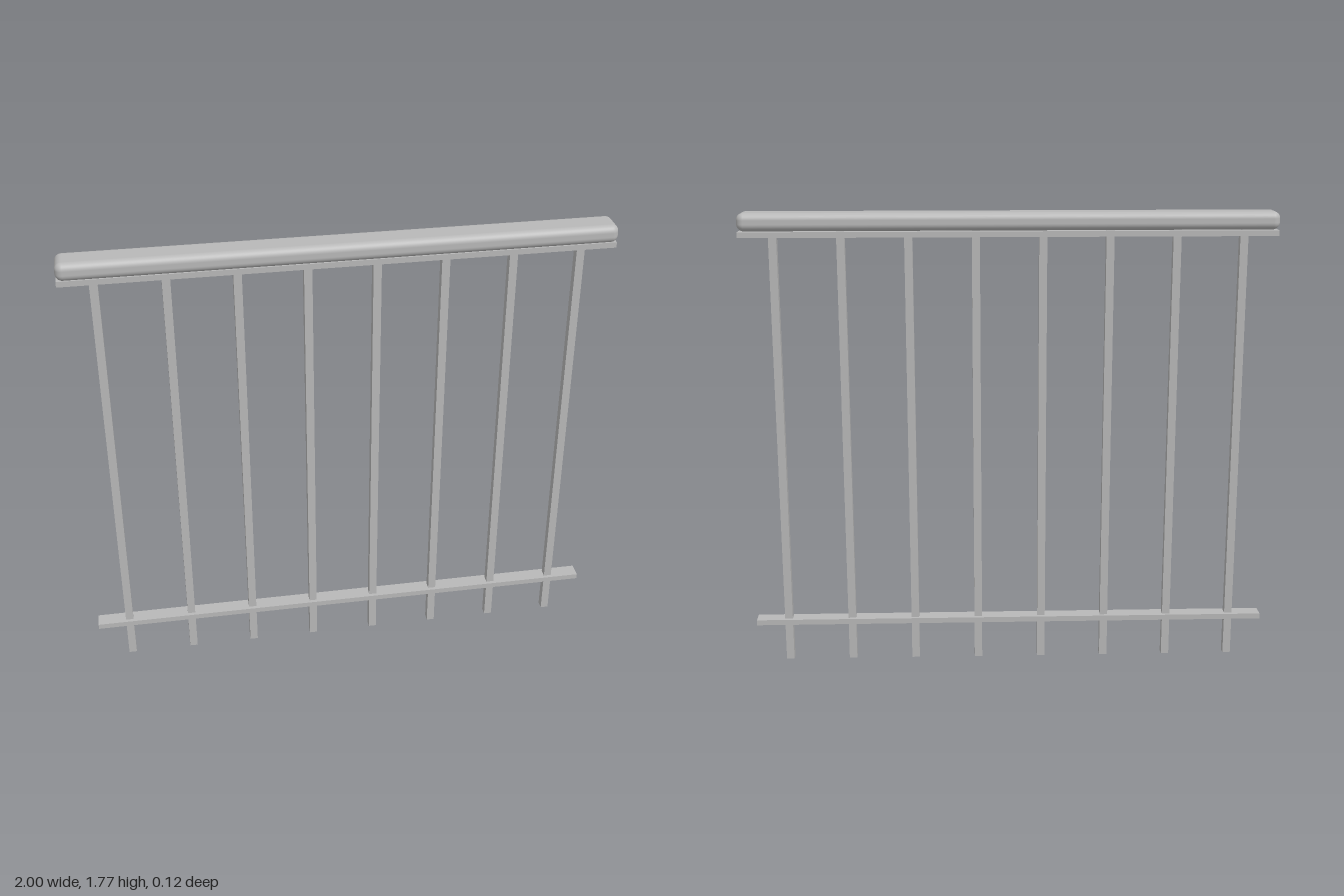
import * as THREE from 'three';
import { RoundedBoxGeometry } from 'three/addons/geometries/RoundedBoxGeometry.js';

export function createModel() {
  const model = new THREE.Group();
  model.name = 'railing';
  const metal = new THREE.MeshStandardMaterial({ color: 0xb8b8b8 });
  metal.name = 'grey metal';

  function add(name, geometry, x, y) {
    const mesh = new THREE.Mesh(geometry, metal);
    mesh.name = name;
    mesh.position.set(x, y, 0);
    model.add(mesh);
  }

  // Rounded handrail, resting just above its flat support bar
  add('handrail', new RoundedBoxGeometry(2, 0.067, 0.12, 5, 0.026), 0, 1.733);
  add('upperBar', new THREE.BoxGeometry(2, 0.021, 0.08), 0, 1.686);

  // Flat lower bar
  add('lowerBar', new THREE.BoxGeometry(2, 0.021, 0.06), 0, 0.161);

  // Eight square balusters, running up into the handrail
  const count = 8, spacing = 0.25, height = 1.71;
  const balusterGeometry = new THREE.BoxGeometry(0.03, height, 0.032);
  for (let i = 0; i < count; i++) {
    add(`baluster${i + 1}`, balusterGeometry, (i - (count - 1) / 2) * spacing, height / 2);
  }
  return model;
}
